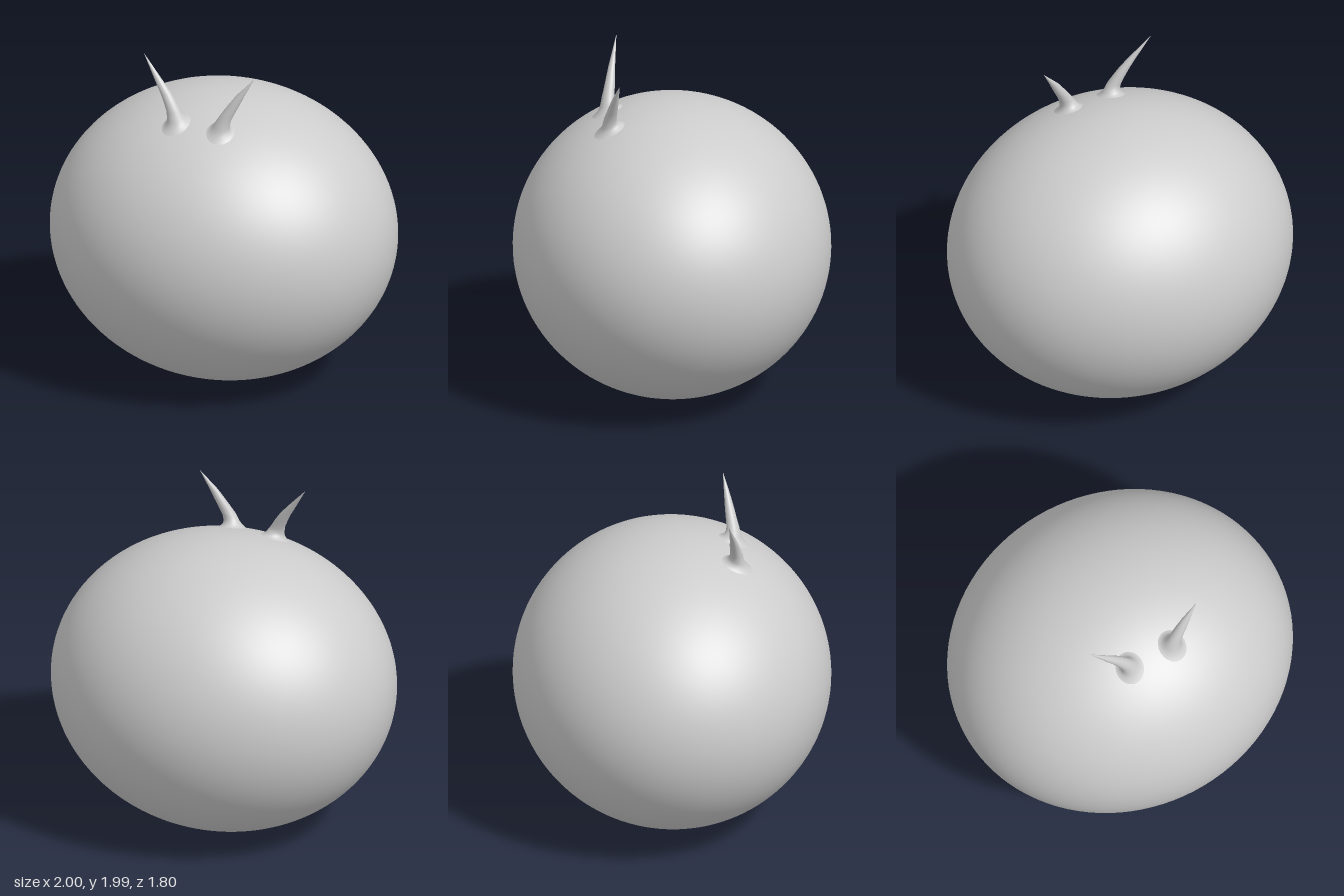
import * as THREE from 'three';

const RX = 1, RY = 0.85, RZ = 0.9;

// Height of the body's upper surface at (x, z)
const bodyTop = (x, z) => RY + RY * Math.sqrt(1 - (x / RX) ** 2 - (z / RZ) ** 2);

// Loft a horn from rings [x, y, z, rx, rz, lift]; rings with a lift hug the body surface
function hornGeometry(rings, sides = 32) {
  const positions = [], index = [];
  rings.forEach(([cx, cy, cz, rx, rz, lift], r) => {
    for (let i = 0; i < sides; i++) {
      const a = (i / sides) * Math.PI * 2;
      const x = cx + Math.cos(a) * rx, z = cz + Math.sin(a) * rz;
      positions.push(x, lift === undefined ? cy : bodyTop(x, z) + lift, z);
      if (r === 0) continue;
      const j = (i + 1) % sides, lo = (r - 1) * sides, hi = r * sides;
      index.push(lo + i, hi + i, lo + j, lo + j, hi + i, hi + j);
    }
  });
  const g = new THREE.BufferGeometry();
  g.setAttribute('position', new THREE.Float32BufferAttribute(positions, 3));
  g.setIndex(index);
  g.computeVertexNormals();
  return g;
}

// Flared foot, then a bent tapering shaft ending in a sharp tip
function hornRings(side, tip, bend) {
  return [
    [side * 0.137, 0, 0.36, 0.088, 0.095, -0.004],
    [side * 0.137, 0, 0.36, 0.07, 0.076, 0.004],
    [side * 0.138, 0, 0.36, 0.055, 0.058, 0.018],
    [side * 0.143, 0, 0.358, 0.046, 0.044, 0.04],
    [side * 0.156, 1.695, 0.355, 0.041, 0.036],
    [side * 0.18, 1.74, 0.347, 0.037, 0.031],
    [side * 0.21, 1.79, 0.339, 0.032, 0.026],
    [side * bend[0], bend[1], 0.33, 0.025, 0.019],
    [side * (bend[0] + tip[0]) / 2, (bend[1] + tip[1]) / 2, (0.33 + tip[2]) / 2, 0.013, 0.01],
    [side * tip[0], tip[1], tip[2], 0.0008, 0.0008],
  ];
}

export function createModel() {
  const model = new THREE.Group();
  const grey = new THREE.MeshStandardMaterial({ color: 0xcccccc });
  grey.name = 'light grey';

  const add = (name, geometry) => {
    const mesh = new THREE.Mesh(geometry, grey);
    mesh.name = name;
    model.add(mesh);
    return mesh;
  };

  // Squashed round body
  const bodyGeometry = new THREE.SphereGeometry(1, 96, 64);
  bodyGeometry.scale(RX, RY, RZ);
  add('body', bodyGeometry).position.y = RY;

  // Two slightly different horns
  add('rightHorn', hornGeometry(hornRings(-1, [0.36, 1.99, 0.3], [0.25, 1.845])));
  add('leftHorn', hornGeometry(hornRings(1, [0.32, 1.955, 0.31], [0.242, 1.845])));

  return model;
}
